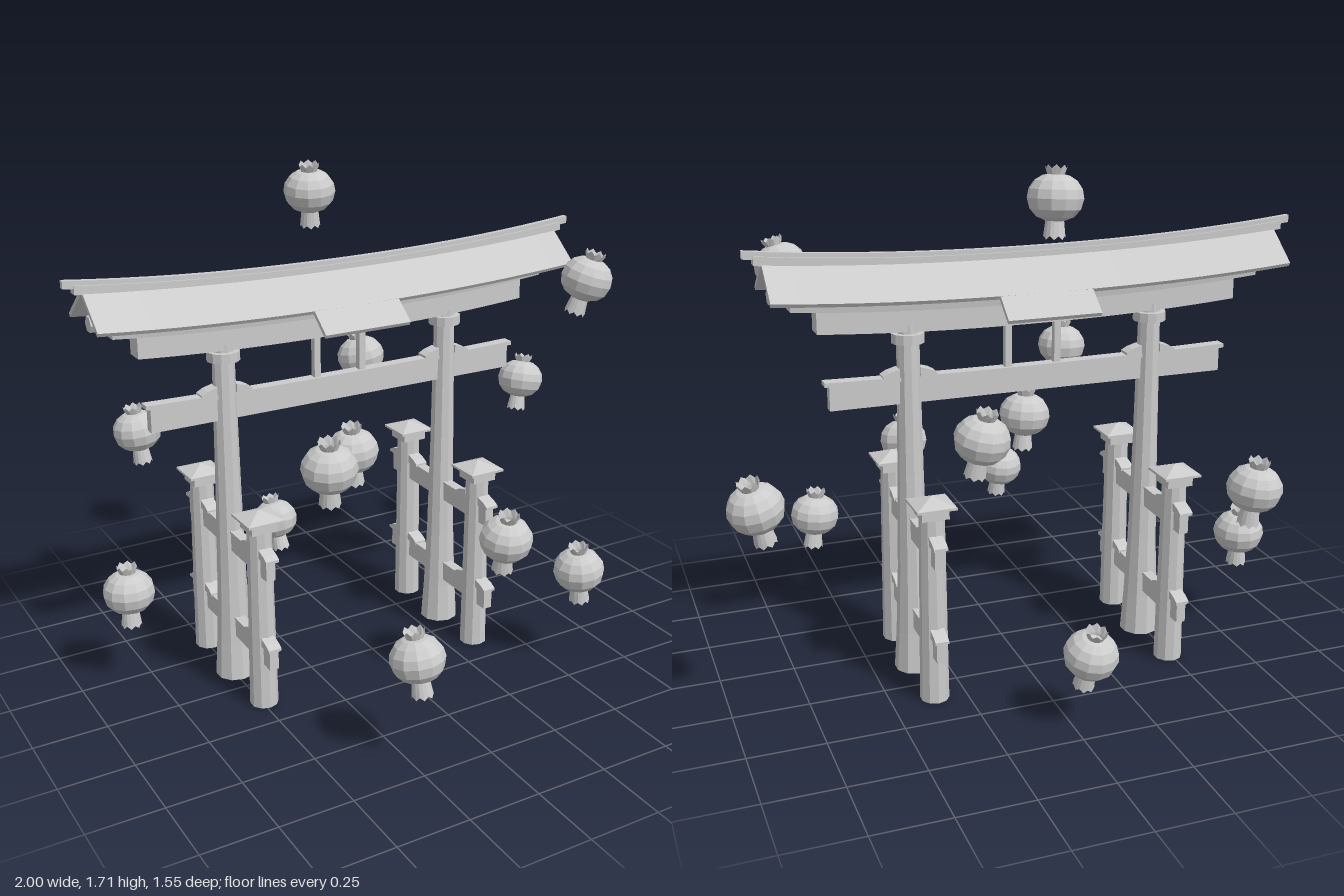
import * as THREE from 'three';

const mat = new THREE.MeshStandardMaterial({ color: 0xcccccc, flatShading: true, side: THREE.DoubleSide });

function add(parent, name, geo, x = 0, y = 0, z = 0) {
  const m = new THREE.Mesh(geo, mat);
  m.name = name;
  m.position.set(x, y, z);
  parent.add(m);
  return m;
}

const box = (w, h, d) => new THREE.BoxGeometry(w, h, d);
const lathe = (pts, sides) => new THREE.LatheGeometry(pts.map(p => new THREE.Vector2(...p)), sides);

// Beam along x with a (z, y) cross-section; its ends sweep upward by lift
function beam(section, x0, x1, lift = 0.045) {
  const shape = new THREE.Shape(section.map(p => new THREE.Vector2(...p)));
  const g = new THREE.ExtrudeGeometry(shape, { depth: x1 - x0, steps: 20, bevelEnabled: false });
  g.rotateY(Math.PI / 2).translate(x0, 0, 0);
  const p = g.attributes.position;
  for (let i = 0; i < p.count; i++) {
    p.setY(i, p.getY(i) + lift * Math.pow(Math.abs(p.getX(i)) / 0.93, 2.2));
  }
  g.computeVertexNormals();
  return g;
}
const rect = (half, y0, y1) => [[-half, y0], [half, y0], [half, y1], [-half, y1]];

// Thin two-sided roof section reaching out to the given half width
function chevron(half) {
  const ridge = 1.405, slope = 0.81, t = 0.017;
  const eave = ridge - slope * half;
  return [[0, ridge], [half, eave], [half - 0.008, eave - t + 0.005], [0, ridge - t],
    [-half + 0.008, eave - t + 0.005], [-half, eave]];
}

// Wedge that slopes down away from a post, along +x or -x
function wedge(parent, x, y, dir, width) {
  const s = new THREE.Shape([[0, 0], [0.055, 0], [0.055, 0.009], [0.035, 0.02], [0, 0.03]]
    .map(p => new THREE.Vector2(...p)));
  const g = new THREE.ExtrudeGeometry(s, { depth: width, bevelEnabled: false }).translate(0, 0, -width / 2);
  const m = add(parent, 'wedge', g, x, y, 0);
  if (dir < 0) m.rotation.y = Math.PI;
}

// Pillar with its front and back support posts and two through rails
function pillarSet() {
  const g = new THREE.Group();
  g.name = 'pillarSet';
  add(g, 'pillar', lathe([[0, 0], [0.068, 0], [0.059, 0.14], [0.05, 0.36], [0.043, 0.7], [0.037, 1.15]], 10));
  add(g, 'pillarCapital', new THREE.CylinderGeometry(0.055, 0.055, 0.032, 12), 0, 1.16, 0);
  add(g, 'pillarNeck', new THREE.CylinderGeometry(0.036, 0.036, 0.04, 10), 0, 1.185, 0);

  for (const s of [-1, 1]) {
    const post = new THREE.Group();
    post.name = 'supportPost';
    post.position.z = 0.23 * s;
    add(post, 'postShaft', new THREE.CylinderGeometry(0.041, 0.048, 0.645, 10), 0, 0.3225, 0);
    add(post, 'postNeck', box(0.09, 0.035, 0.09), 0, 0.655, 0);
    add(post, 'postPlate', box(0.13, 0.008, 0.13), 0, 0.676, 0);
    const roof = new THREE.ConeGeometry(0.064 * Math.SQRT2, 0.026, 4).rotateY(Math.PI / 4);
    add(post, 'postRoof', roof, 0, 0.693, 0);
    g.add(post);
  }

  // Rails are built along x, then turned to run front to back
  const rails = new THREE.Group();
  rails.name = 'rails';
  rails.rotation.y = Math.PI / 2;
  for (const [y, half] of [[0.2, 0.317], [0.52, 0.31]]) {
    add(rails, 'rail', box(2 * half, 0.068, 0.032), 0, y, 0);
    add(rails, 'railTop', box(2 * half + 0.008, 0.008, 0.036), 0, y + 0.033, 0);
    for (const c of [-0.23, 0.23]) {
      for (const d of [-1, 1]) wedge(rails, c + d * 0.04, y + 0.034, d, 0.046);
    }
  }
  g.add(rails);
  return g;
}

function gate() {
  const g = new THREE.Group();
  g.name = 'gate';
  for (const x of [-0.4225, 0.4225]) {
    const set = pillarSet();
    set.position.x = x;
    g.add(set);
    for (const d of [-1, 1]) wedge(g, x + d * 0.034, 1.032, d, 0.046);
  }

  // Lower crossbeam, its cap and the two struts above it
  add(g, 'crossbeam', box(1.37, 0.08, 0.034), 0, 0.985, 0);
  add(g, 'crossbeamCap', beam(rect(0.021, 1.017, 1.031), -0.7, 0.7, 0.016));
  for (const x of [-0.086, 0.086]) add(g, 'strut', box(0.023, 0.18, 0.023), x, 1.105, 0);

  // Stacked top beams
  add(g, 'lowerTopBeam', beam(rect(0.033, 1.175, 1.26), -0.72, 0.72));
  add(g, 'upperTopBeam', beam([[-0.038, 1.245], [0.038, 1.245], [0.053, 1.345], [0, 1.388], [-0.053, 1.345]],
    -0.8, 0.8));
  for (const s of [-1, 1]) {
    const stud = new THREE.CylinderGeometry(0.027, 0.027, 0.07, 6).rotateZ(Math.PI / 2);
    add(g, 'beamEndStud', stud, s * 0.825, 1.325, 0);
  }

  // Roof, wider middle eave and ridge
  add(g, 'roof', beam(chevron(0.132), -0.875, 0.875, 0.038));
  add(g, 'middleEave', beam(chevron(0.207), -0.157, 0.157, 0));
  add(g, 'ridgeBase', beam(rect(0.017, 1.383, 1.411), -0.9, 0.9));
  add(g, 'ridgeCap', beam(rect(0.01, 1.4, 1.425), -0.9325, 0.9325));
  return g;
}

// Open ring with a zigzag on its upper (row 0) or lower (row 1) rim
function jaggedRing(rTop, rBottom, h, row) {
  const n = 16;
  const g = new THREE.CylinderGeometry(rTop, rBottom, h, n, 1, true);
  const p = g.attributes.position;
  for (let i = 0; i <= n; i += 2) {
    const k = row * (n + 1) + i;
    p.setY(k, p.getY(k) + (row ? 0.011 : -0.011));
  }
  return g;
}

function lantern() {
  const g = new THREE.Group();
  g.name = 'lantern';
  add(g, 'lanternBody', lathe([[0, -0.062], [0.03, -0.068], [0.058, -0.056], [0.079, -0.033], [0.088, 0],
    [0.083, 0.028], [0.066, 0.053], [0.042, 0.068], [0.028, 0.071], [0.026, 0.06], [0, 0.06]], 12));
  add(g, 'lanternCrown', jaggedRing(0.035, 0.026, 0.03, 0), 0, 0.084, 0);
  add(g, 'lanternSkirt', jaggedRing(0.028, 0.035, 0.062, 1), 0, -0.093, 0);
  return g;
}

// Floating lanterns: x, y, z, lean toward x, lean toward z
const lanterns = [
  [-0.055, 1.61, -0.33, -0.06, 0.1],
  [0.68, 1.34, 0.255, 0.25, 0.15],
  [-0.39, 0.93, 0.415, -0.06, 0.1],
  [-0.59, 0.73, -0.685, -0.1, -0.07],
  [-0.1, 0.803, 0.04, -0.08, 0.05],
  [0.245, 0.93, -0.51, -0.15, -0.15],
  [0.91, 0.76, -0.4, 0.22, -0.12],
  [0.205, 0.595, 0.505, -0.03, 0.17],
  [-0.828, 0.357, -0.2, 0, -0.05],
  [-0.24, 0.375, 0.685, -0.06, -0.17],
  [-0.045, 0.253, -0.69, -0.09, -0.24],
  [0.565, 0.368, 0.443, -0.1, 0.02],
];

export function createModel() {
  const model = new THREE.Group();
  model.name = 'gateWithLanterns';
  const g = gate();
  g.position.set(-0.0675, 0, -0.112);
  model.add(g);
  for (const [x, y, z, leanX, leanZ] of lanterns) {
    const l = lantern();
    l.position.set(x, y, z);
    l.rotation.set(leanZ, 0, -leanX);
    model.add(l);
  }
  return model;
}
